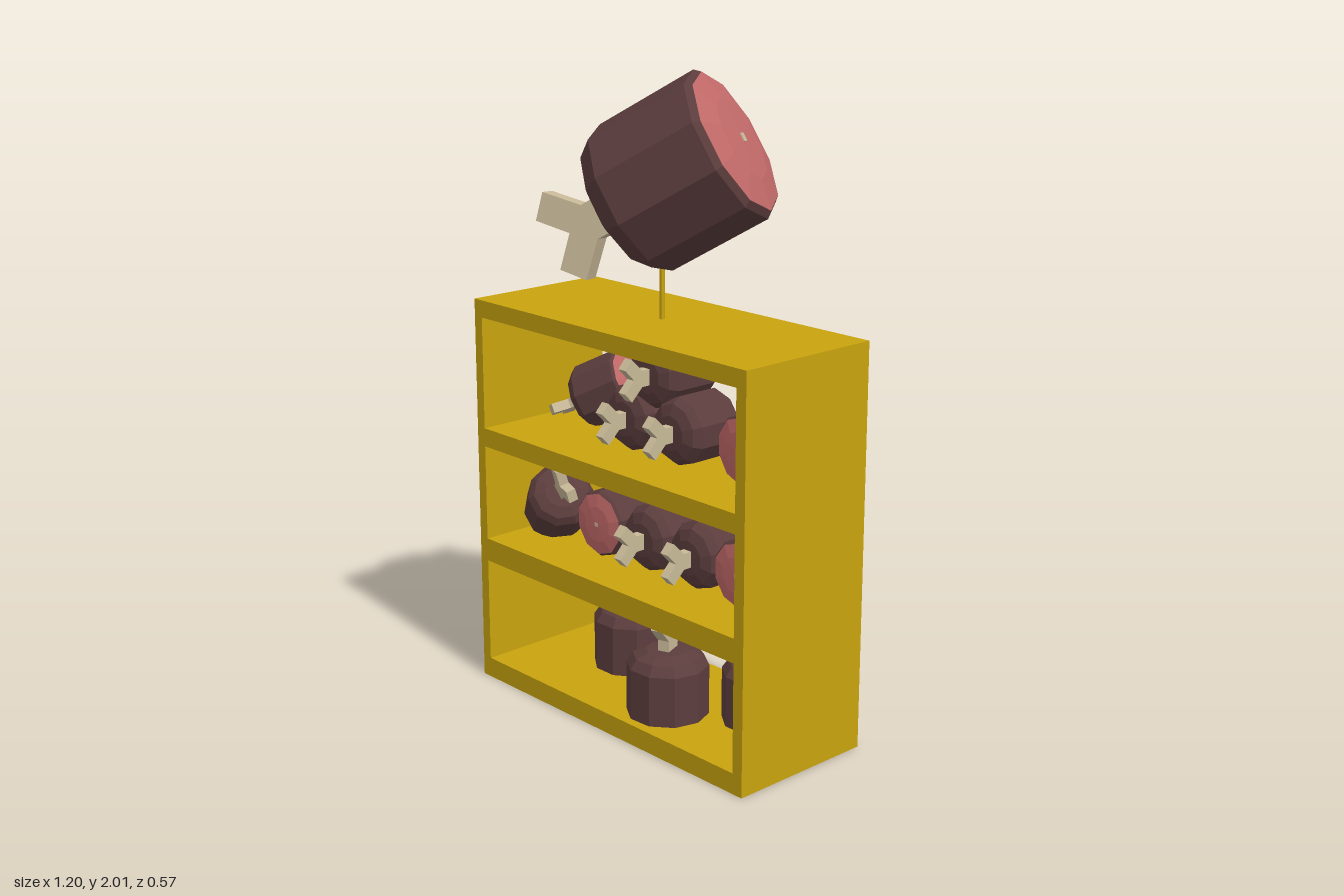
import * as THREE from 'three';

const flat = (name, color) => {
  const m = new THREE.MeshStandardMaterial({ color, flatShading: true });
  m.name = name;
  return m;
};

export function createModel() {
  const gold = flat('gold', 0xc9a30e);
  const skin = flat('brown skin', 0x5c3d3d);
  const meat = flat('pink meat', 0xc26a69);
  const bone = flat('bone', 0xc8b998);

  const root = new THREE.Group();
  root.name = 'hamShelf';
  const add = (parent, name, geometry, material) => {
    const mesh = new THREE.Mesh(geometry, material);
    mesh.name = name;
    parent.add(mesh);
    return mesh;
  };
  const v2 = ([x, y]) => new THREE.Vector2(x, y);

  // Cabinet open at front and back, with three compartments
  const outline = (x0, x1, y0, y1) => [[x0, y0], [x1, y0], [x1, y1], [x0, y1]].map(v2);
  const frame = new THREE.Shape(outline(-0.6, 0.6, 0, 1.265));
  for (const [y0, y1] of [[0.065, 0.405], [0.48, 0.79], [0.85, 1.21]]) {
    frame.holes.push(new THREE.Path(outline(-0.565, 0.562, y0, y1)));
  }
  add(root, 'shelfCabinet', new THREE.ExtrudeGeometry(frame, { depth: 0.495, bevelEnabled: false }), gold)
    .position.z = -0.23;

  // Thin rod holding up the large ham
  add(root, 'supportRod', new THREE.CylinderGeometry(0.008, 0.008, 0.3, 8), gold).position.set(0, 1.4, 0.02);

  // Shared ham parts, for radius 1 with the bone along +y and its fork along x
  const lathe = (points) => new THREE.LatheGeometry(points.map(v2), 10, Math.PI / 10);
  const bodyGeo = lathe([[0.93, -0.76], [1, -0.68], [1, 0.7], [0.84, 0.93], [0.52, 1.06], [0, 1.08]]);
  const cutGeo = lathe([[0, -0.86], [0.55, -0.84], [0.93, -0.76]]);
  const half = [[0.235, 0.4], [0.235, 1.34], [0.61, 1.72], [0.34, 1.97]];
  const mirrored = half.map(([x, y]) => [-x, y]).reverse();
  const boneShape = new THREE.Shape([...half, [0, 1.64], ...mirrored].map(v2));
  const boneGeo = new THREE.ExtrudeGeometry(boneShape, { depth: 0.29, bevelEnabled: false });
  boneGeo.translate(0, 0, -0.145);
  const nubGeo = new THREE.BoxGeometry(0.11, 0.1, 0.11);
  nubGeo.translate(0, -0.82, 0);

  // Place a ham by centre, radius, bone direction and fork direction
  const ham = (name, centre, r, axis, fork) => {
    const g = new THREE.Group();
    g.name = name;
    add(g, 'hamBody', bodyGeo, skin);
    add(g, 'cutFace', cutGeo, meat);
    add(g, 'forkedBone', boneGeo, bone);
    add(g, 'boneEnd', nubGeo, bone);
    const y = new THREE.Vector3(...axis).normalize();
    const x = new THREE.Vector3(...fork);
    x.addScaledVector(y, -x.dot(y)).normalize();
    const z = new THREE.Vector3().crossVectors(x, y);
    g.quaternion.setFromRotationMatrix(new THREE.Matrix4().makeBasis(x, y, z));
    g.position.set(...centre);
    g.scale.setScalar(r);
    root.add(g);
  };

  // Large display ham on top
  ham('largeHam', [0.08, 1.717, 0.01], 0.24, [-0.745, -0.507, 0.43], [0.5, -0.86, -0.15]);

  // Bottom shelf: standing on the cut face
  const up = [0, 1, 0];
  for (const [x, z, turn] of [[-0.228, -0.06, 0], [0.125, 0.113, 1.2], [0.365, -0.06, 0]]) {
    ham('standingHam', [x, 0.135, z], 0.128, up, [Math.cos(turn), 0, Math.sin(turn)]);
  }

  // Middle and top shelves: lying with the bone to the front
  for (const [x, y] of [[0.003, 0.586], [0.212, 0.586], [-0.075, 0.955], [0.132, 0.955], [0.03, 1.11]]) {
    ham('boneForwardHam', [x, y, 0], 0.106, [0, 0, 1], up);
  }

  // Lying with the cut face to the front
  ham('cutForwardHam', [-0.2, 0.586, 0.025], 0.107, [0, 0, -1], up);
  ham('cutForwardHam', [0.418, 0.586, 0.025], 0.107, [0, 0, -1], up);
  ham('cutForwardHam', [0.412, 0.957, 0.01], 0.107, [0.1, 0, -1], up);

  // Tilted hams at the right-hand ends
  ham('tiltedHam', [-0.44, 0.59, 0.07], 0.106, [0.68, 0.6, 0.42], [-0.7, 0.7, 0]);
  ham('tiltedHam', [-0.335, 0.97, -0.06], 0.106, [-0.8, -0.45, 0.4], [0, 0, 1]);

  return root;
}
